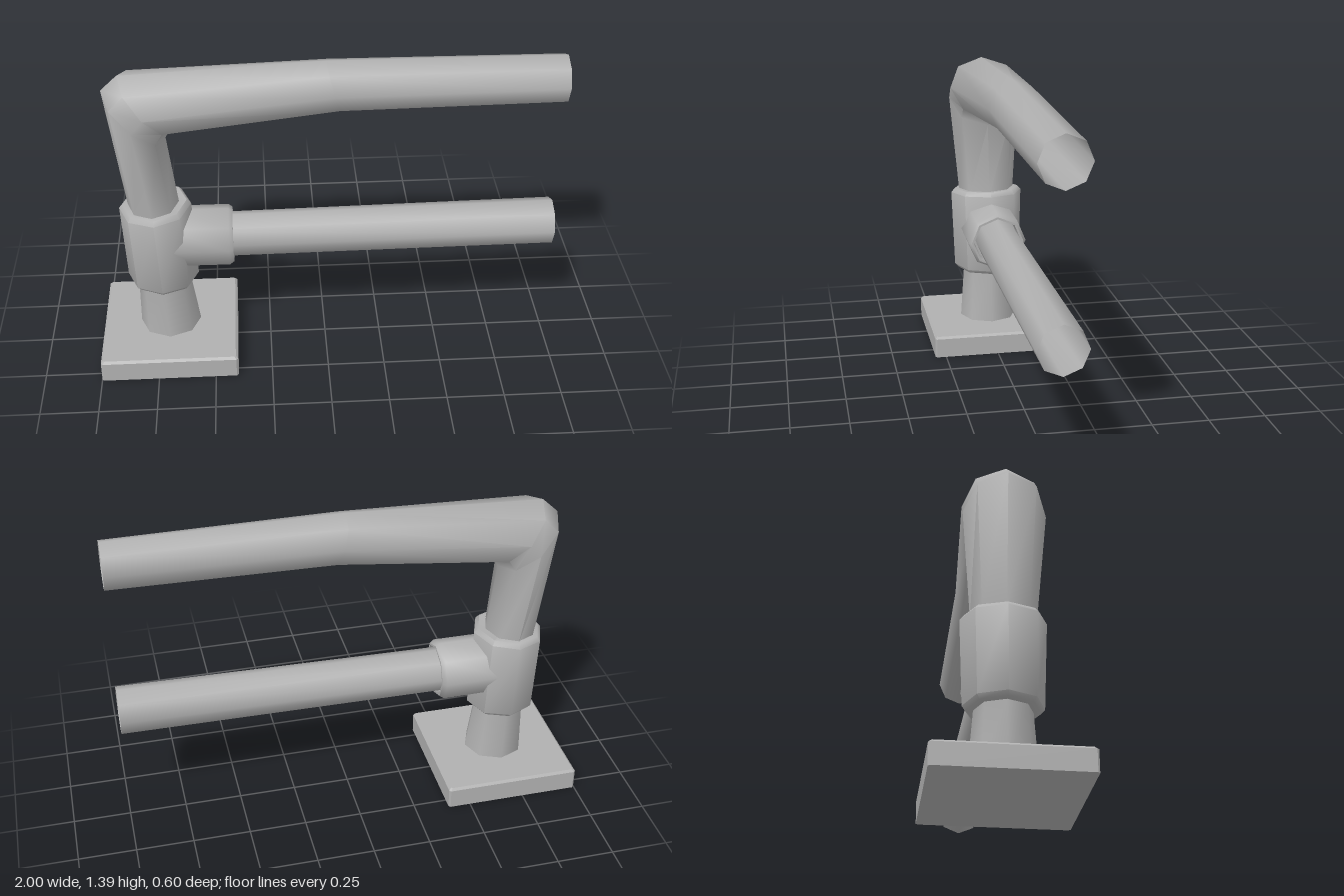
import * as THREE from 'three';
import { toCreasedNormals } from 'three/addons/utils/BufferGeometryUtils.js';

const SIDES = 8;

// Octagonal ring: centre (cx, cy), in-plane half axis (ux, uy), half width rz
function ring(cx, cy, ux, uy, rz) {
  return Array.from({ length: SIDES }, (_, j) => {
    const a = (j / SIDES) * Math.PI * 2;
    return [cx + ux * Math.cos(a), cy + uy * Math.cos(a), rz * Math.sin(a)];
  });
}

// Square ring with cut corners, lying flat at height y
function squareRing(cx, y, h, cut) {
  const k = Math.max(h - cut, 0);
  return [[-h, -k], [-h, k], [-k, h], [k, h], [h, k], [h, -k], [k, -h], [-k, -h]]
    .map(([x, z]) => [cx + x, y, z]);
}

// Skin a row of rings
function loft(rings, crease) {
  const index = [];
  for (let i = 0; i < rings.length - 1; i++) {
    for (let j = 0; j < SIDES; j++) {
      const a = i * SIDES + j, b = i * SIDES + (j + 1) % SIDES;
      index.push(a, b, b + SIDES, a, b + SIDES, a + SIDES);
    }
  }
  const geo = new THREE.BufferGeometry();
  geo.setAttribute('position', new THREE.Float32BufferAttribute(rings.flat(2), 3));
  geo.setIndex(index);
  return toCreasedNormals(geo, crease);
}

export function createModel() {
  const group = new THREE.Group();
  const grey = new THREE.MeshStandardMaterial({ color: 0xb0b0b0, side: THREE.DoubleSide });
  grey.name = 'grey';

  const add = (name, rings, crease = 0.95) => {
    const mesh = new THREE.Mesh(loft(rings, crease), grey);
    mesh.name = name;
    group.add(mesh);
  };

  // Square foot plate with a bevelled top edge
  add('basePlate', [
    squareRing(-0.7, 0, 0, 0),
    squareRing(-0.7, 0, 0.3, 0.008),
    squareRing(-0.7, 0.09, 0.3, 0.008),
    squareRing(-0.7, 0.1, 0.29, 0.006),
    squareRing(-0.7, 0.1, 0, 0),
  ], 0.5);

  // Post that bends over into the upper rail, open at the far end
  add('postAndUpperRail', [
    ring(-0.7, 0.09, -0.135, 0, 0.135),
    ring(-0.715, 0.34, -0.115, 0, 0.115),
    ring(-0.737, 0.72, -0.11, 0, 0.13),
    ring(-0.79, 1.17, -0.125, 0.115, 0.166),
    ring(-0.743, 1.225, -0.102, 0.125, 0.166),
    ring(0.035, 1.28, -0.03, 0.111, 0.115),
    ring(1, 1.283, 0, 0.104, 0.104),
  ]);

  // Collar around the post, slightly tilted
  add('postCollar', [
    ring(-0.717, 0.345, -0.09, 0, 0.09),
    ring(-0.717, 0.343, -0.138, 0.003, 0.143),
    ring(-0.718, 0.36, -0.155, 0.003, 0.158),
    ring(-0.732, 0.718, -0.155, -0.006, 0.17),
    ring(-0.733, 0.737, -0.138, -0.006, 0.153),
    ring(-0.733, 0.735, -0.09, 0, 0.09),
  ]);

  // Socket with a hollow rim
  add('railSocket', [
    ring(-0.68, 0.556, 0, 0.134, 0.134),
    ring(-0.42, 0.555, 0, 0.135, 0.135),
    ring(-0.402, 0.555, 0, 0.122, 0.122),
    ring(-0.402, 0.555, 0, 0.112, 0.112),
    ring(-0.46, 0.555, 0, 0.108, 0.108),
    ring(-0.46, 0.555, 0, 0.08, 0.08),
  ]);

  // Lower rail, open at the far end
  add('lowerRail', [
    ring(-0.6, 0.556, 0, 0.098, 0.098),
    ring(1, 0.573, 0, 0.103, 0.103),
  ]);

  return group;
}
